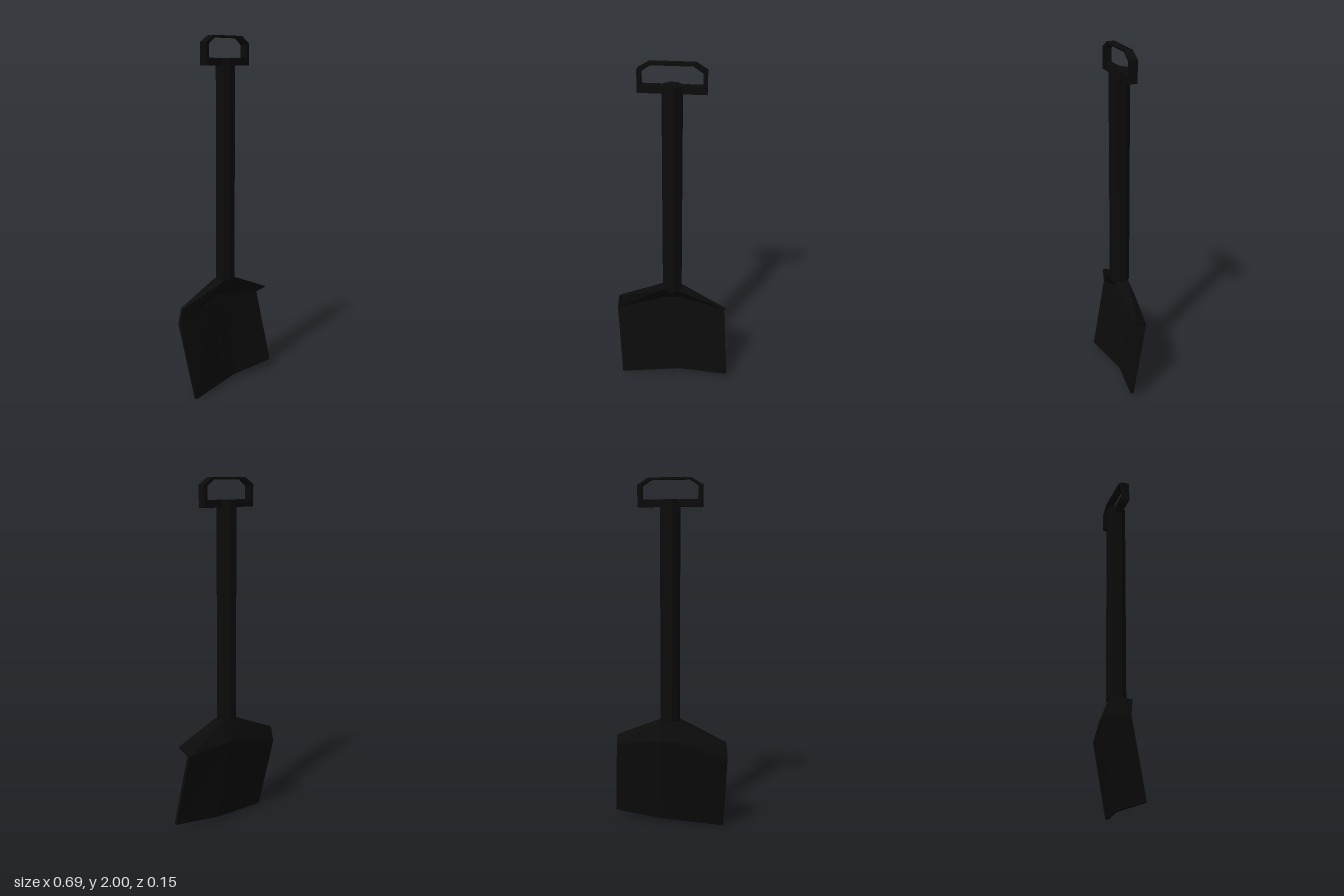
import * as THREE from 'three';

const material = new THREE.MeshStandardMaterial({ color: 0x0b0b0b, flatShading: true });

function add(group, name, geometry) {
  const mesh = new THREE.Mesh(geometry, material);
  mesh.name = name;
  group.add(mesh);
  return mesh;
}

// Folded plate: rows of front points [x, y, z front, z back], joined by quads
function plate(rows) {
  const positions = [];
  const quad = (a, b, c, d) => positions.push(...a, ...b, ...c, ...a, ...c, ...d);
  const front = rows.map(row => row.map(([x, y, z]) => [x, y, z]));
  const back = rows.map(row => row.map(([x, y, , z]) => [x, y, z]));
  const R = rows.length - 1, C = rows[0].length - 1;
  for (let r = 0; r < R; r++) {
    for (let c = 0; c < C; c++) {
      quad(front[r][c], front[r][c + 1], front[r + 1][c + 1], front[r + 1][c]);
      quad(back[r][c + 1], back[r][c], back[r + 1][c], back[r + 1][c + 1]);
    }
  }
  // Rim, walked anticlockwise around the front face
  const rim = [];
  for (let c = 0; c < C; c++) rim.push([0, c]);
  for (let r = 0; r < R; r++) rim.push([r, C]);
  for (let c = C; c > 0; c--) rim.push([R, c]);
  for (let r = R; r > 0; r--) rim.push([r, 0]);
  rim.forEach(([r, c], i) => {
    const [s, d] = rim[(i + 1) % rim.length];
    quad(front[r][c], back[r][c], back[s][d], front[s][d]);
  });
  const geometry = new THREE.BufferGeometry();
  geometry.setAttribute('position', new THREE.Float32BufferAttribute(positions, 3));
  geometry.computeVertexNormals();
  return geometry;
}

// Ring of the grip seen from the front
function gripOutline(Type, halfWidth, bottom, shoulder, top, topHalf) {
  return new Type([
    [-halfWidth, bottom], [halfWidth, bottom], [halfWidth, shoulder],
    [topHalf, top], [-topHalf, top], [-halfWidth, shoulder],
  ].map(([x, y]) => new THREE.Vector2(x, y)));
}

export function createModel() {
  const group = new THREE.Group();
  group.name = 'shovel';

  // Eight-sided shaft
  const shaft = add(group, 'shaft',
    new THREE.CylinderGeometry(0.057, 0.057, 1.25, 8, 1, false, Math.PI / 8));
  shaft.position.set(-0.004, 1.255, 0.003);

  // Grip at the top, turned slightly on the shaft
  const outline = gripOutline(THREE.Shape, 0.182, 1.84, 1.962, 2.0, 0.12);
  outline.holes.push(gripOutline(THREE.Path, 0.16, 1.88, 1.953, 1.988, 0.11));
  const gripGeometry = new THREE.ExtrudeGeometry(outline, { depth: 0.044, bevelEnabled: false });
  gripGeometry.translate(0, 0, -0.022);
  const grip = add(group, 'grip', gripGeometry);
  grip.position.set(-0.004, 0, 0.002);
  grip.rotation.y = 0.07;

  // Slightly bent blade: cutting edge, fold, shoulders
  add(group, 'blade', plate([
    [[-0.307, 0.003, 0.075, 0.056], [-0.045, 0.024, 0.037, 0.02],
      [0.05, 0.03, 0.022, 0.01], [0.34, 0.052, 0.053, 0.035]],
    [[-0.345, 0.43, -0.01, -0.03], [-0.07, 0.515, -0.048, -0.067],
      [0.035, 0.522, -0.058, -0.079], [0.304, 0.48, -0.03, -0.05]],
    [[-0.333, 0.52, 0.0, -0.02], [-0.057, 0.632, 0.045, -0.035],
      [0.049, 0.632, 0.045, -0.035], [0.321, 0.52, 0.032, 0.012]],
  ]));

  return group;
}
